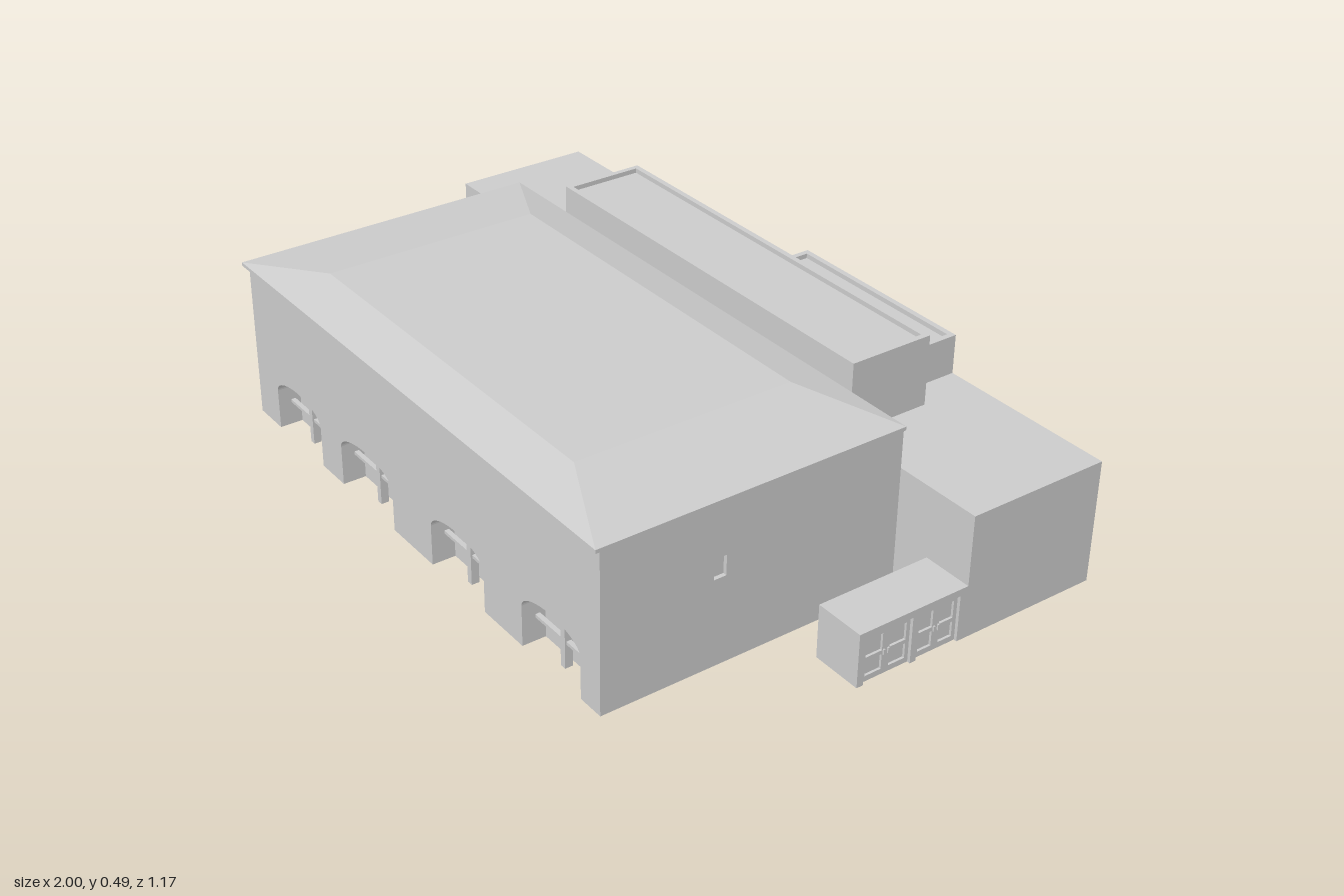
import * as THREE from 'three';

const material = new THREE.MeshStandardMaterial({ color: 0xcccccc, flatShading: true, side: THREE.DoubleSide });

function add(parent, geometry, name) {
  const mesh = new THREE.Mesh(geometry, material);
  mesh.name = name;
  parent.add(mesh);
  return mesh;
}

// Box given by its lower and upper limits on each axis
function box(parent, name, x0, x1, y0, y1, z0, z1) {
  const mesh = add(parent, new THREE.BoxGeometry(x1 - x0, y1 - y0, z1 - z0), name);
  mesh.position.set((x0 + x1) / 2, (y0 + y1) / 2, (z0 + z1) / 2);
  return mesh;
}

function rectangle(Type, x0, x1, y0, y1) {
  const r = new Type();
  r.moveTo(x0, y0);
  r.lineTo(x1, y0);
  r.lineTo(x1, y1);
  r.lineTo(x0, y1);
  r.closePath();
  return r;
}

const extrude = (shape, depth) =>
  new THREE.ExtrudeGeometry(shape, { depth, bevelEnabled: false, curveSegments: 16 });

// Flat-roofed block with a thin raised rim round its roof
function parapetBlock(parent, name, x0, x1, y1, z0, z1, y0) {
  const rim = 0.014, drop = 0.012;
  const group = new THREE.Group();
  group.name = name;
  box(group, 'blockBody', x0, x1, y0, y1 - drop, z0, z1);
  const shape = rectangle(THREE.Shape, x0, x1, -z1, -z0);
  shape.holes.push(rectangle(THREE.Path, x0 + rim, x1 - rim, -z1 + rim, -z0 - rim));
  const parapet = add(group, extrude(shape, drop), 'parapet');
  parapet.rotation.x = -Math.PI / 2;
  parapet.position.y = y1 - drop;
  parent.add(group);
}

// Annex with two glazed doors on its local +z face, length along local x
function annex(name) {
  const length = 0.3, height = 0.136, depth = 0.13, recess = 0.014;
  const group = new THREE.Group();
  group.name = name;
  box(group, 'annexBody', 0, length, 0, height, -depth, -recess);

  const doors = [[0.017, 0.147], [0.163, 0.28]];
  const top = 0.118;
  const wall = new THREE.Shape();
  wall.moveTo(0, 0);
  for (const [a, b] of doors) {
    wall.lineTo(a, 0);
    wall.lineTo(a, top);
    wall.lineTo(b, top);
    wall.lineTo(b, 0);
  }
  wall.lineTo(length, 0);
  wall.lineTo(length, height);
  wall.lineTo(0, height);
  add(group, extrude(wall, recess), 'doorWall').position.z = -recess;

  // Each door is a frame of two leaves with two panes per leaf
  for (const [a, b] of doors) {
    const frame = rectangle(THREE.Shape, a, b, 0, top);
    const half = (b - a) / 2;
    for (let leaf = 0; leaf < 2; leaf++) {
      for (const [low, high] of [[0.014, 0.052], [0.062, 0.106]]) {
        const left = a + leaf * half;
        frame.holes.push(rectangle(THREE.Path, left + 0.01, left + half - 0.01, low, high));
      }
    }
    add(group, extrude(frame, 0.006), 'doorFrame').position.z = -recess;
    for (const side of [-1, 1]) {
      const x = (a + b) / 2 + side * 0.006;
      box(group, 'doorHandle', x - 0.002, x + 0.002, 0.05, 0.064, -0.008, -0.004);
    }
  }
  return group;
}

export function createModel() {
  const model = new THREE.Group();
  model.name = 'building';

  // Main hall
  const left = -0.72, right = 0.77, front = 0.572, back = -0.215, wallTop = 0.412;
  const reveal = 0.06, sideWall = 0.01;
  const hall = new THREE.Group();
  hall.name = 'mainHall';
  model.add(hall);
  box(hall, 'hallBody', left, right - sideWall, 0, wallTop, back, front - reveal);

  // Front wall with four arched openings: [left, right, crossbar height]
  const arches = [[-0.62, -0.4, 0.065], [-0.3, -0.06, 0.075], [0.11, 0.33, 0.075], [0.48, 0.7, 0.065]];
  const spring = 0.105, rise = 0.043;
  const wall = new THREE.Shape();
  wall.moveTo(left, 0);
  for (const [a, b] of arches) {
    wall.lineTo(a, 0);
    wall.lineTo(a, spring);
    wall.absellipse((a + b) / 2, spring, (b - a) / 2, rise, Math.PI, 0, true);
    wall.lineTo(b, 0);
  }
  wall.lineTo(right, 0);
  wall.lineTo(right, wallTop);
  wall.lineTo(left, wallTop);
  add(hall, extrude(wall, reveal), 'frontWall').position.z = front - reveal;

  // Window bars inside the arches
  for (const [a, b, bar] of arches) {
    const mid = (a + b) / 2;
    box(hall, 'mullion', mid - 0.008, mid + 0.008, 0, spring + rise, front - 0.05, front - 0.03);
    box(hall, 'crossbar', a, b, bar - 0.004, bar + 0.004, front - 0.046, front - 0.034);
  }

  // Side wall with a small window
  const side = rectangle(THREE.Shape, -(front - reveal), -back, 0, wallTop);
  side.holes.push(rectangle(THREE.Path, -0.287, -0.255, 0.222, 0.273));
  const sideMesh = add(hall, extrude(side, sideWall), 'sideWall');
  sideMesh.rotation.y = Math.PI / 2;
  sideMesh.position.x = right - sideWall;

  // Hipped roof: a thin eave slab and a box drawn in at the top
  const eave = [-0.727, 0.777, back, 0.587];
  const crown = [-0.49, 0.535, -0.095, 0.472];
  box(hall, 'eave', eave[0], eave[1], 0.41, 0.419, eave[2], eave[3]);
  const hip = new THREE.BoxGeometry(1, 1, 1);
  const p = hip.attributes.position;
  for (let i = 0; i < p.count; i++) {
    const upper = p.getY(i) > 0;
    const r = upper ? crown : eave;
    p.setXYZ(i, r[p.getX(i) > 0 ? 1 : 0], upper ? 0.454 : 0.419, r[p.getZ(i) > 0 ? 3 : 2]);
  }
  hip.computeVertexNormals();
  add(hall, hip, 'hippedRoof');

  // Rear wing and the two raised blocks on it
  box(model, 'rearWing', -1, 1, 0, 0.312, -0.587, back);
  parapetBlock(model, 'upperBlock', -0.51, 0.6, 0.49, -0.437, back, 0.312);
  parapetBlock(model, 'rearUpperBlock', 0, 0.53, 0.412, -0.587, -0.437, 0.312);

  // Annexes on both sides
  const leftAnnex = annex('leftAnnex');
  leftAnnex.rotation.y = Math.PI / 2;
  leftAnnex.position.set(1, 0, 0.085);
  const rightAnnex = annex('rightAnnex');
  rightAnnex.rotation.y = -Math.PI / 2;
  rightAnnex.position.set(-0.853, 0, 0.037);
  model.add(leftAnnex, rightAnnex);

  return model;
}
